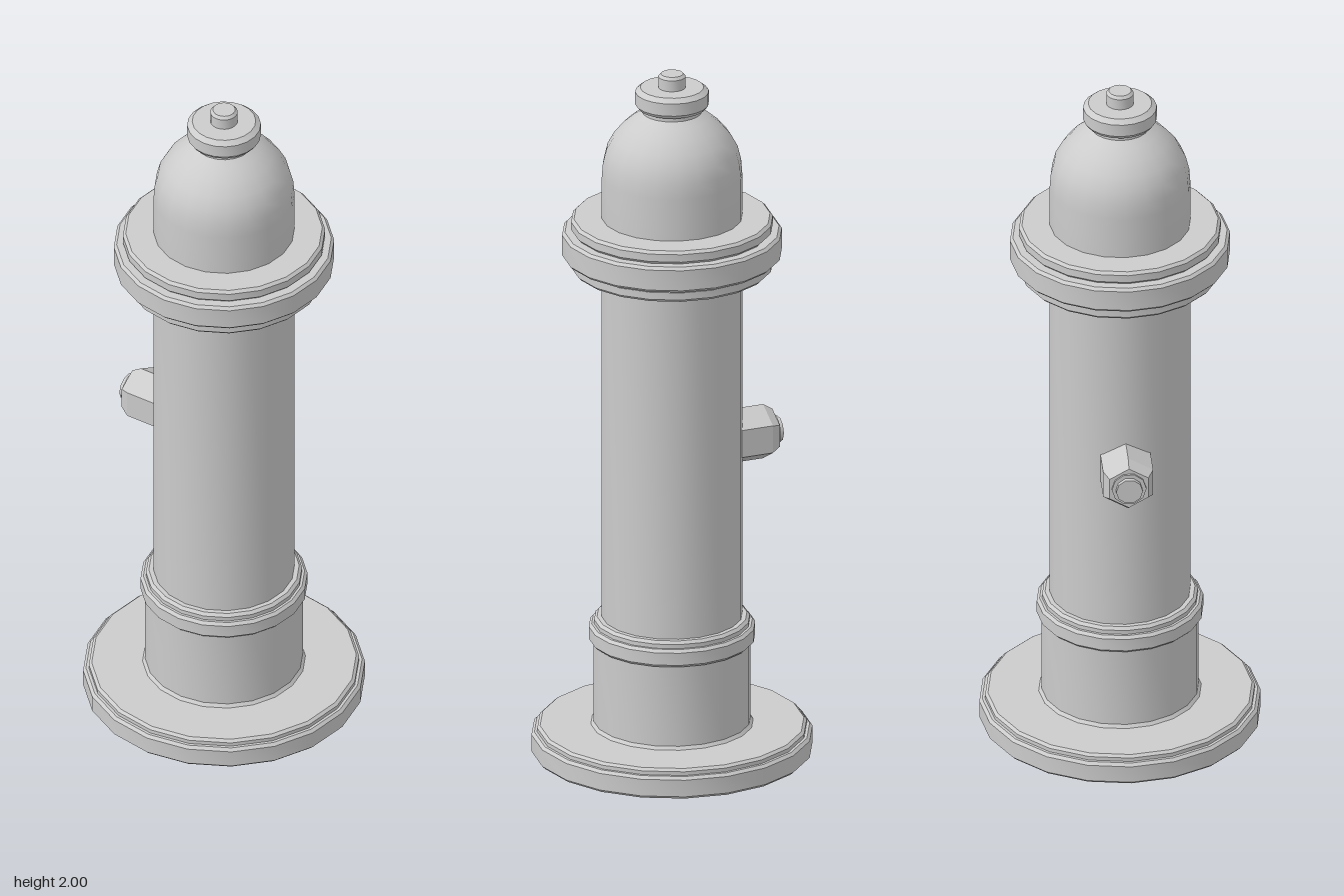
import * as THREE from 'three';
import { toCreasedNormals } from 'three/addons/utils/BufferGeometryUtils.js';

const material = new THREE.MeshStandardMaterial({ color: 0xcccccc });
const SIDES = 20;

// Turned part from [radius, height] pairs, listed bottom to top
function turned(name, profile, sides = SIDES, start = 0, crease = 0.5) {
  const points = profile.map(([r, y]) => new THREE.Vector2(r, y));
  const geometry = new THREE.LatheGeometry(points, sides, start);
  const mesh = new THREE.Mesh(toCreasedNormals(geometry, crease), material);
  mesh.name = name;
  return mesh;
}

// Disc or band with bevelled rims
const band = (r, y0, y1, b = 0.008) => [[r - b, y0], [r, y0 + b], [r, y1 - b], [r - b, y1]];

export function createModel() {
  const model = new THREE.Group();
  model.name = 'hydrant';

  // Foot plate with a small raised step
  model.add(turned('footPlate', [
    [0, 0], ...band(0.39, 0, 0.065), [0.374, 0.065], [0.374, 0.076], [0.366, 0.083], [0.225, 0.083], [0.0, 0.083],
  ]));

  // Lower sleeve, its ring, and the main column
  model.add(turned('lowerSleeve', [[0.228, 0.08], [0.218, 0.092], [0.218, 0.335]]));
  model.add(turned('sleeveRing', [
    [0.215, 0.328], ...band(0.231, 0.328, 0.38), [0.216, 0.38], [0.216, 0.392], [0.208, 0.4], [0.19, 0.4],
  ]));
  model.add(turned('column', [[0.195, 0.39], [0.195, 1.44]]));

  // Triple-stepped flange
  model.add(turned('flange', [
    [0.19, 1.428], ...band(0.28, 1.428, 1.465),
    ...band(0.305, 1.465, 1.54), ...band(0.28, 1.54, 1.578), [0.19, 1.578],
  ]));

  // Domed bonnet
  model.add(turned('bonnet', [
    [0.195, 1.57], [0.195, 1.7], [0.192, 1.74], [0.182, 1.78], [0.163, 1.815],
    [0.136, 1.847], [0.105, 1.873], [0.078, 1.89],
  ]));

  // Bonnet collar and operating nut
  model.add(turned('collar', [
    [0.082, 1.88], [0.082, 1.9], [0.095, 1.902], [0.102, 1.912], [0.102, 1.948], [0.088, 1.96], [0, 1.96],
  ]));
  model.add(turned('topNut', [[0.038, 1.955], [0.038, 1.992], [0.031, 2], [0, 2]]));

  // Hexagonal side cap, pointing outward between the right and the back
  const sideCap = new THREE.Group();
  sideCap.name = 'sideCap';
  sideCap.add(turned('hexBody', [
    [0.08, 0.17], [0.08, 0.274], [0.062, 0.302], [0, 0.302],
  ], 6, Math.PI / 2, 0.3));
  sideCap.add(turned('capStud', [
    [0.048, 0.298], [0.048, 0.308], [0.037, 0.308], [0.037, 0.321], [0, 0.321],
  ], 10, 0, 0.7));
  sideCap.rotation.set(0, -Math.PI / 10, Math.PI / 2, 'YXZ');
  sideCap.position.y = 0.9;
  model.add(sideCap);

  return model;
}
